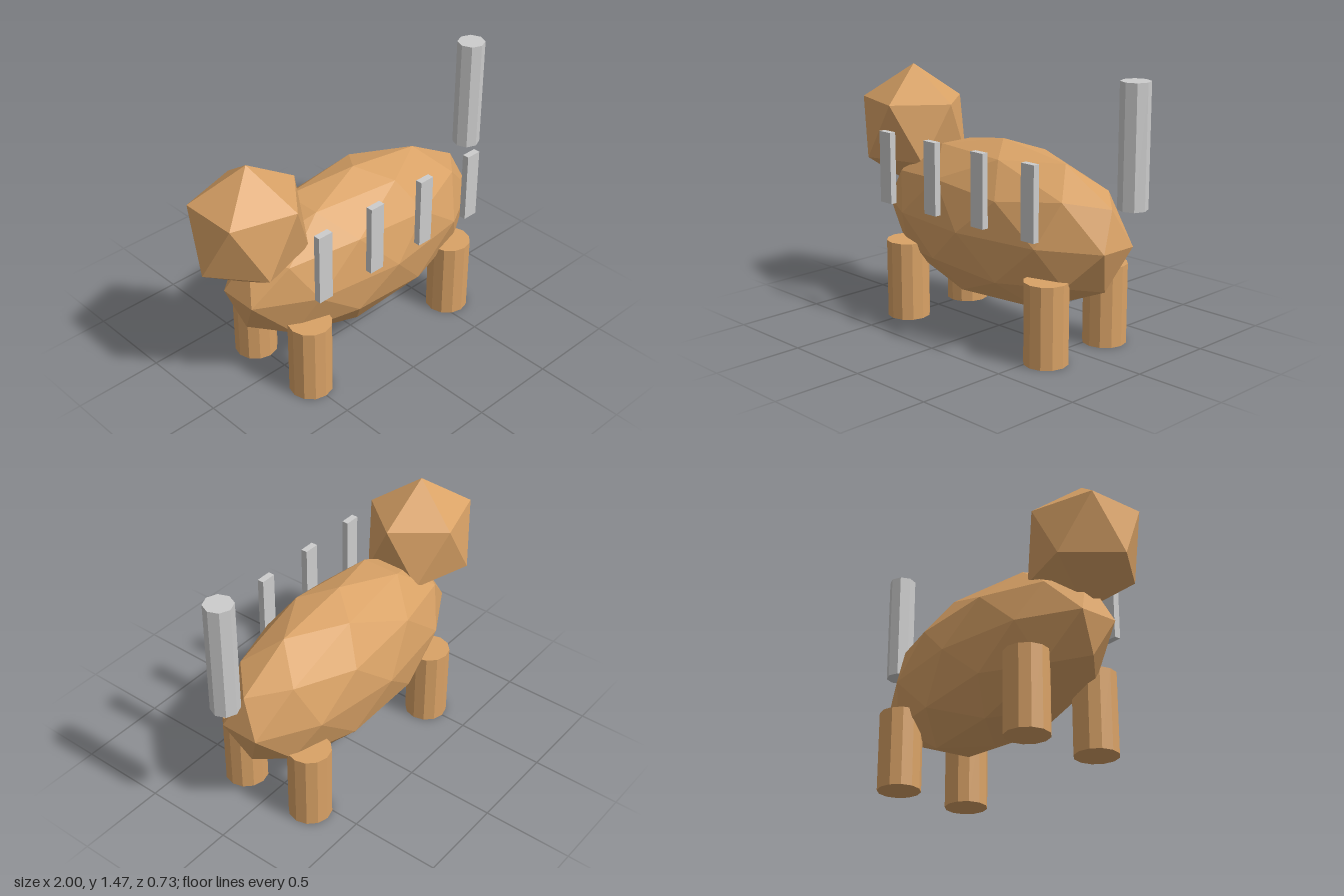
import * as THREE from 'three';

export function createModel() {
  const model = new THREE.Group();
  const tan = new THREE.MeshStandardMaterial({ color: 0xd9a266, flatShading: true });
  tan.name = 'tan hide';
  const grey = new THREE.MeshStandardMaterial({ color: 0xcccccc, flatShading: true });
  grey.name = 'light grey';

  const Z = -0.007; // depth of the animal's centre line

  function add(name, geometry, material, x, y, z) {
    const mesh = new THREE.Mesh(geometry, material);
    mesh.name = name;
    mesh.position.set(x, y, z);
    model.add(mesh);
    return mesh;
  }

  // Faceted ball with one corner straight up, stretched to an ellipsoid
  function facetedBall(detail, rx, ry, rz) {
    const geometry = new THREE.IcosahedronGeometry(1, detail);
    const golden = (1 + Math.sqrt(5)) / 2;
    geometry.rotateZ(-Math.atan(1 / golden));
    geometry.scale(rx, ry, rz);
    geometry.computeVertexNormals();
    return geometry;
  }

  // Body and head
  add('body', facetedBall(1, 0.857, 0.453, 0.355), tan, 0.025, 0.607, Z);
  add('head', facetedBall(0, 0.344, 0.356, 0.312), tan, -0.692, 1.026, Z);

  // Four legs
  const legGeometry = new THREE.CylinderGeometry(0.119, 0.119, 0.44, 12);
  for (const [end, x] of [['front', -0.502], ['rear', 0.561]]) {
    for (const [side, s] of [['Near', 1], ['Far', -1]]) {
      add(end + side + 'Leg', legGeometry, tan, x, 0.22, Z + s * 0.227);
    }
  }

  // Upright tail
  add('tail', new THREE.CylinderGeometry(0.077, 0.077, 0.635, 8), grey, 0.922, 1.157, Z);

  // Row of upright stripes along one flank
  const stripeGeometry = new THREE.BoxGeometry(0.088, 0.396, 0.037);
  for (let i = 0; i < 4; i++) {
    add('stripe' + (i + 1), stripeGeometry, grey, -0.513 + i * 0.358, 0.869, 0.345);
  }

  return model;
}
